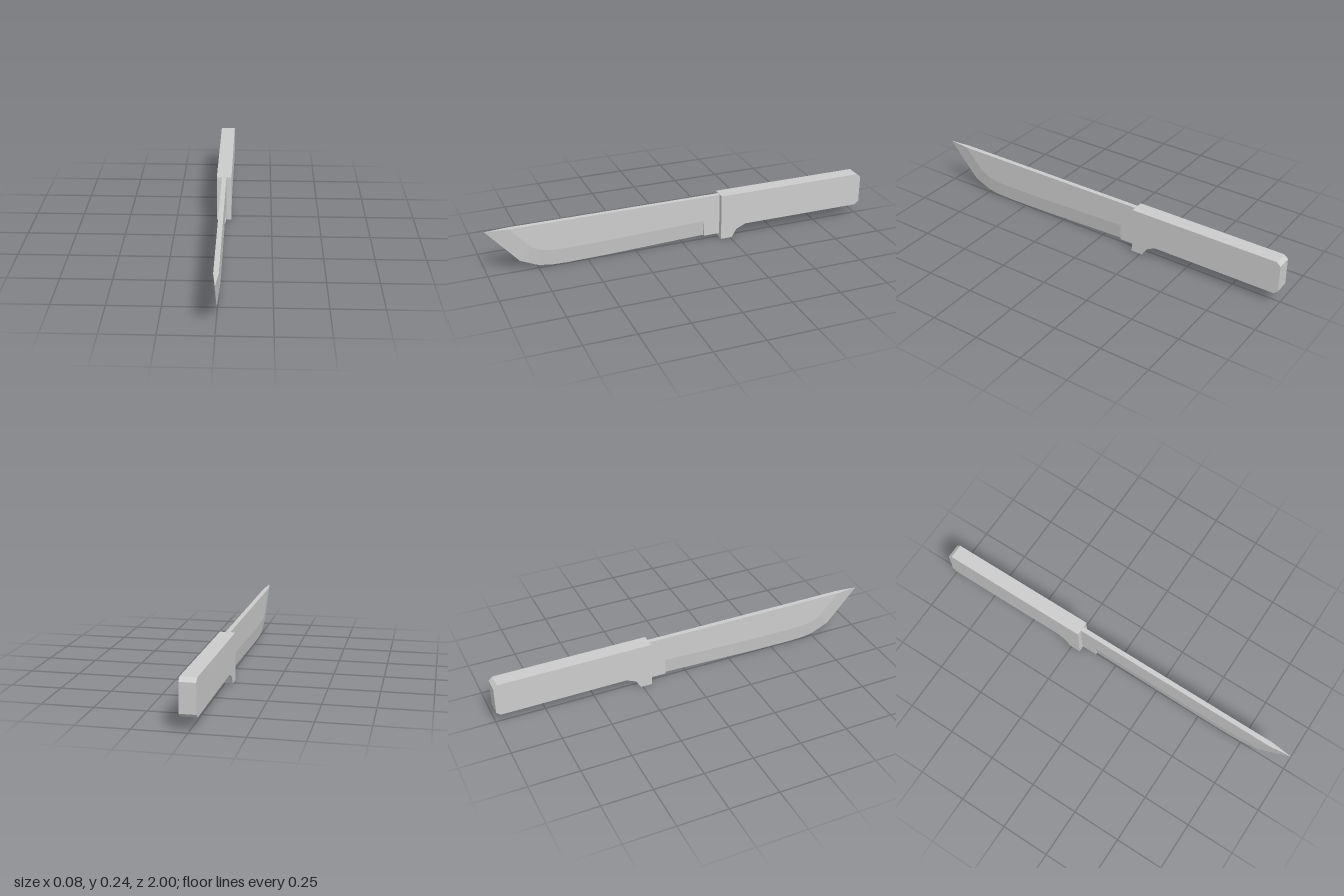
import * as THREE from 'three';

const HALF = 0.012; // half thickness of the blade
const TOP = 0.238;  // height of the spine

// Handle: side profile (z, y) extruded across x
function handleGeometry() {
  const profile = [
    [-0.2, 0], [-0.26, 0], [-0.285, 0.042], [-0.335, 0.065], [-0.98, 0.065],
    [-1, 0.083], [-1, 0.222], [-0.98, 0.24], [-0.2, 0.24],
  ];
  const shape = new THREE.Shape(profile.map(([z, y]) => new THREE.Vector2(z, y)));
  const geometry = new THREE.ExtrudeGeometry(shape, { depth: 0.076, bevelEnabled: false });
  geometry.translate(0, 0, -0.038);
  geometry.rotateY(-Math.PI / 2);
  return geometry;
}

// Blade: flat sides above a ground bevel that meets at the cutting edge
function bladeGeometry() {
  // spine z, bevel line z and y, cutting edge z and y
  const stations = [
    [-0.115, -0.115, 0.105, -0.115, 0.022],
    [0.4, 0.4, 0.09, 0.4, 0.006],
    [0.6, 0.6, 0.088, 0.6, 0.003],
    [0.7, 0.67, 0.09, 0.68, 0.005],
    [0.77, 0.74, 0.1, 0.75, 0.015],
    [0.83, 0.78, 0.123, 0.84, 0.055],
    [0.885, 0.885, TOP, 1, TOP],
  ];
  const positions = [];
  for (const [spineZ, bevelZ, bevelY, edgeZ, edgeY] of stations) {
    positions.push(
      HALF, TOP, spineZ, HALF, bevelY, bevelZ, 0, edgeY, edgeZ,
      -HALF, bevelY, bevelZ, -HALF, TOP, spineZ,
    );
  }
  const index = [];
  const last = stations.length - 1;
  for (let i = 0; i < last; i++) {
    for (let j = 0; j < 5; j++) {
      const a = i * 5 + j, b = i * 5 + (j + 1) % 5;
      index.push(a, a + 5, b, b, a + 5, b + 5);
    }
  }
  // Triangle closing the spine at the point
  index.push(last * 5 + 3, last * 5 + 2, last * 5 + 1);

  const geometry = new THREE.BufferGeometry();
  geometry.setAttribute('position', new THREE.Float32BufferAttribute(positions, 3));
  geometry.setIndex(index);
  geometry.computeVertexNormals();
  return geometry;
}

export function createModel() {
  const model = new THREE.Group();
  model.name = 'knife';
  const material = new THREE.MeshStandardMaterial({ color: 0xcccccc, flatShading: true });
  const add = (name, geometry) => {
    const mesh = new THREE.Mesh(geometry, material);
    mesh.name = name;
    model.add(mesh);
    return mesh;
  };

  add('handle', handleGeometry());
  add('blade', bladeGeometry());

  // Unsharpened block between the handle and the bevel
  add('bladeBase', new THREE.BoxGeometry(HALF * 2, TOP - 0.022, 0.085))
    .position.set(0, (TOP + 0.022) / 2, -0.1575);

  return model;
}
